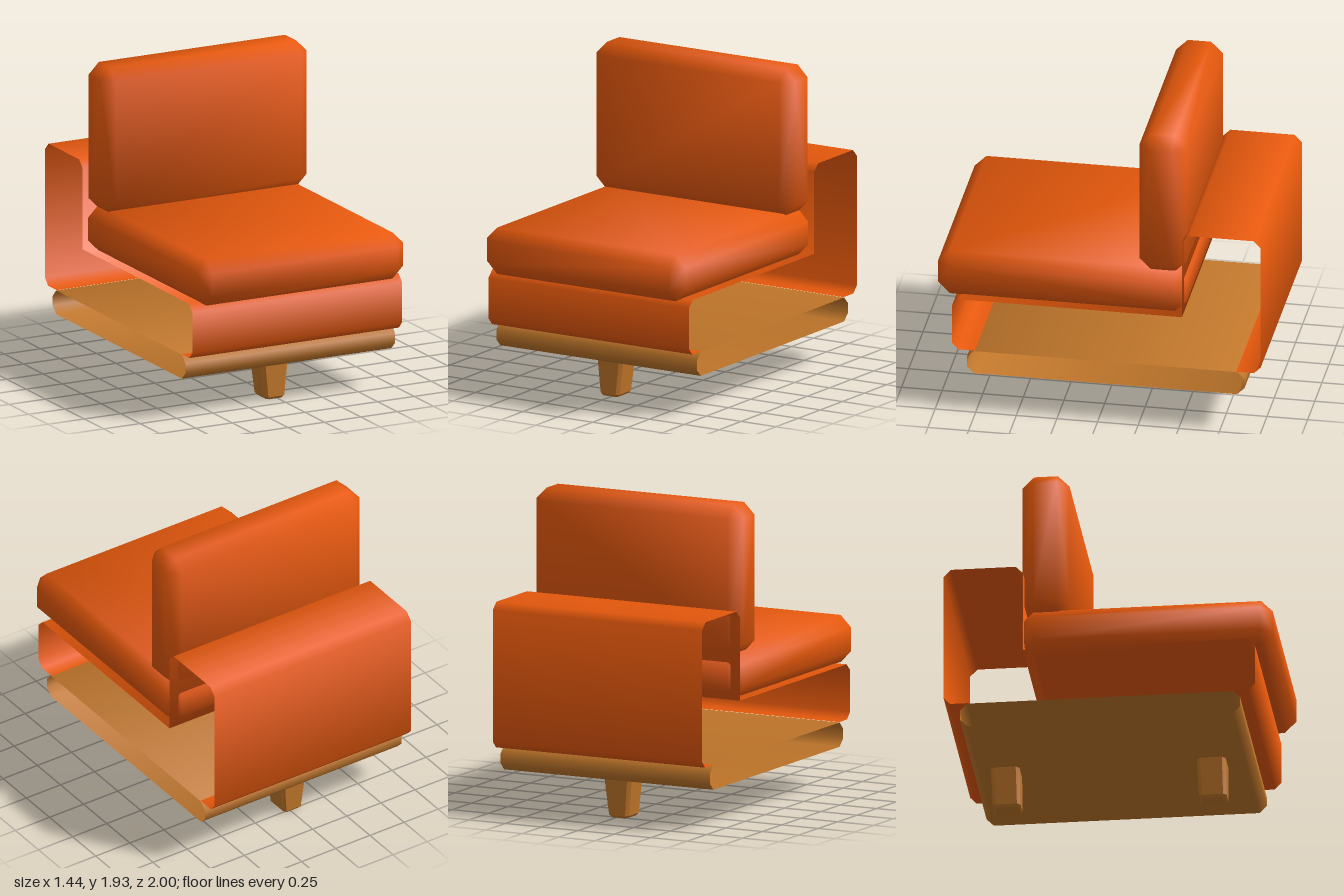
import * as THREE from 'three';

const fabric = new THREE.MeshStandardMaterial({ color: 0xe8590c });
fabric.name = 'orange fabric';
const shellFabric = new THREE.MeshStandardMaterial({ color: 0xe8590c, side: THREE.DoubleSide });
shellFabric.name = 'orange shell';
const wood = new THREE.MeshStandardMaterial({ color: 0xc0762a, side: THREE.DoubleSide });
wood.name = 'tan wood';

function addMesh(group, name, geometry, material) {
  const mesh = new THREE.Mesh(geometry, material);
  mesh.name = name;
  group.add(mesh);
  return mesh;
}

function makeGeometry(positions, normals, index) {
  const g = new THREE.BufferGeometry();
  g.setAttribute('position', new THREE.Float32BufferAttribute(positions, 3));
  g.setAttribute('normal', new THREE.Float32BufferAttribute(normals, 3));
  g.setIndex(index);
  return g;
}

// Chamfered box with softly blended normals: three vertices per corner, one for each axis
function cushionGeometry(w, h, d, c) {
  const half = [w / 2, h / 2, d / 2];
  const pos = [], nor = [], index = [];
  const id = (signs, axis) =>
    ((signs[0] > 0 ? 4 : 0) + (signs[1] > 0 ? 2 : 0) + (signs[2] > 0 ? 1 : 0)) * 3 + axis;
  for (let k = 0; k < 8; k++) {
    const s = [k & 4 ? 1 : -1, k & 2 ? 1 : -1, k & 1 ? 1 : -1];
    for (let axis = 0; axis < 3; axis++) {
      pos.push(...s.map((v, i) => v * (half[i] - (i === axis ? 0 : c))));
      nor.push(...new THREE.Vector3(...s.map((v, i) => v * (i === axis ? 2.99 : 1.28))).normalize().toArray());
    }
  }
  // Adds a triangle, turned to face outward
  const tri = (a, b, e) => {
    const [A, B, E] = [a, b, e].map(i => new THREE.Vector3().fromArray(pos, i * 3));
    const n = B.clone().sub(A).cross(E.clone().sub(A));
    if (n.dot(A.add(B).add(E)) > 0) index.push(a, b, e);
    else index.push(a, e, b);
  };
  const quad = (a, b, e, f) => { tri(a, b, e); tri(a, e, f); };
  const at = (axis, s, u, su, v, sv) => {
    const r = [0, 0, 0];
    r[axis] = s; r[u] = su; r[v] = sv;
    return r;
  };
  for (let a = 0; a < 3; a++) {
    const u = (a + 1) % 3, v = (a + 2) % 3;
    for (const s of [-1, 1]) {
      // Flat side
      quad(...[[-1, -1], [1, -1], [1, 1], [-1, 1]].map(([p, q]) => id(at(a, s, u, p, v, q), a)));
      // Chamfers between this side and the next axis
      for (const t of [-1, 1]) {
        const lo = at(a, s, u, t, v, -1), hi = at(a, s, u, t, v, 1);
        quad(id(lo, a), id(hi, a), id(hi, u), id(lo, u));
      }
    }
  }
  for (let k = 0; k < 8; k++) tri(k * 3, k * 3 + 1, k * 3 + 2);
  return makeGeometry(pos, nor, index);
}

// Thin sheet: a [z, y] profile swept across the width, with open sides
function sheetGeometry(profile, halfWidth, closed) {
  const n = profile.length, pos = [], nor = [], index = [];
  const dir = i => {
    if (!closed && (i < 0 || i >= n - 1)) return new THREE.Vector2();
    const a = profile[(i + n) % n], b = profile[(i + 1) % n];
    return new THREE.Vector2(b[0] - a[0], b[1] - a[1]).normalize();
  };
  profile.forEach(([z, y], i) => {
    const t = dir(i - 1).add(dir(i)).normalize();
    for (const x of [-halfWidth, halfWidth]) {
      pos.push(x, y, z);
      nor.push(0, -t.x, t.y);
    }
  });
  for (let i = 0; i < (closed ? n : n - 1); i++) {
    const a = i * 2, b = ((i + 1) % n) * 2;
    index.push(a, a + 1, b, a + 1, b + 1, b);
  }
  return makeGeometry(pos, nor, index);
}

// Tapered leg with chamfered corners and a small chamfer at the foot
function legGeometry() {
  const g = new THREE.CylinderGeometry(1, 1, 1, 8, 2, false, Math.PI / 8);
  const p = g.attributes.position;
  const square = v => (Math.abs(v) < 0.01 ? 0 : Math.sign(v) * (Math.abs(v) > 0.5 ? 1 : 0.76));
  for (let i = 0; i < p.count; i++) {
    const row = Math.round(p.getY(i) * 2) + 1;
    const y = [0, 0.015, 0.29][row];
    const inset = row === 0 ? 0.012 : 0;
    p.setXYZ(i,
      square(p.getX(i)) * (0.066 + 0.12 * y - inset),
      y,
      square(p.getZ(i)) * (0.084 + 0.015 * y - inset) - 0.03 * y);
  }
  const flat = g.toNonIndexed();
  flat.computeVertexNormals();
  return flat;
}

export function createModel() {
  const chair = new THREE.Group();
  chair.name = 'lounge chair';

  // Cushions
  addMesh(chair, 'seatCushion', cushionGeometry(1.424, 0.29, 1.53, 0.072), fabric)
    .position.set(0, 0.885, 0.235);
  addMesh(chair, 'backCushion', cushionGeometry(1.424, 0.92, 0.288, 0.072), fabric)
    .position.set(0, 1.47, -0.384);

  // Upholstered shell: front, seat deck, raised back box
  const shell = [
    [0.76, 0.403], [0.86, 0.403], [0.9, 0.445], [0.9, 0.7], [0.855, 0.744],
    [-0.515, 0.744], [-0.515, 1.255], [-0.56, 1.3], [-0.955, 1.3], [-1, 1.255],
    [-1, 0.445], [-0.96, 0.403], [-0.85, 0.403],
  ].reverse();
  addMesh(chair, 'shell', sheetGeometry(shell, 0.72, false), shellFabric);

  // Plinth under the shell
  const plinth = [
    [-0.855, 0.4], [0.765, 0.4], [0.81, 0.355], [0.81, 0.295],
    [0.765, 0.25], [-0.855, 0.25], [-0.9, 0.295], [-0.9, 0.355],
  ];
  addMesh(chair, 'plinth', sheetGeometry(plinth.reverse(), 0.72, true), wood);

  // Legs, one at the front and one at the back
  const leg = legGeometry();
  for (const [name, z] of [['frontLeg', 0.57], ['backLeg', -0.688]]) {
    addMesh(chair, name, leg, wood).position.set(-0.015, 0, z);
  }
  return chair;
}
